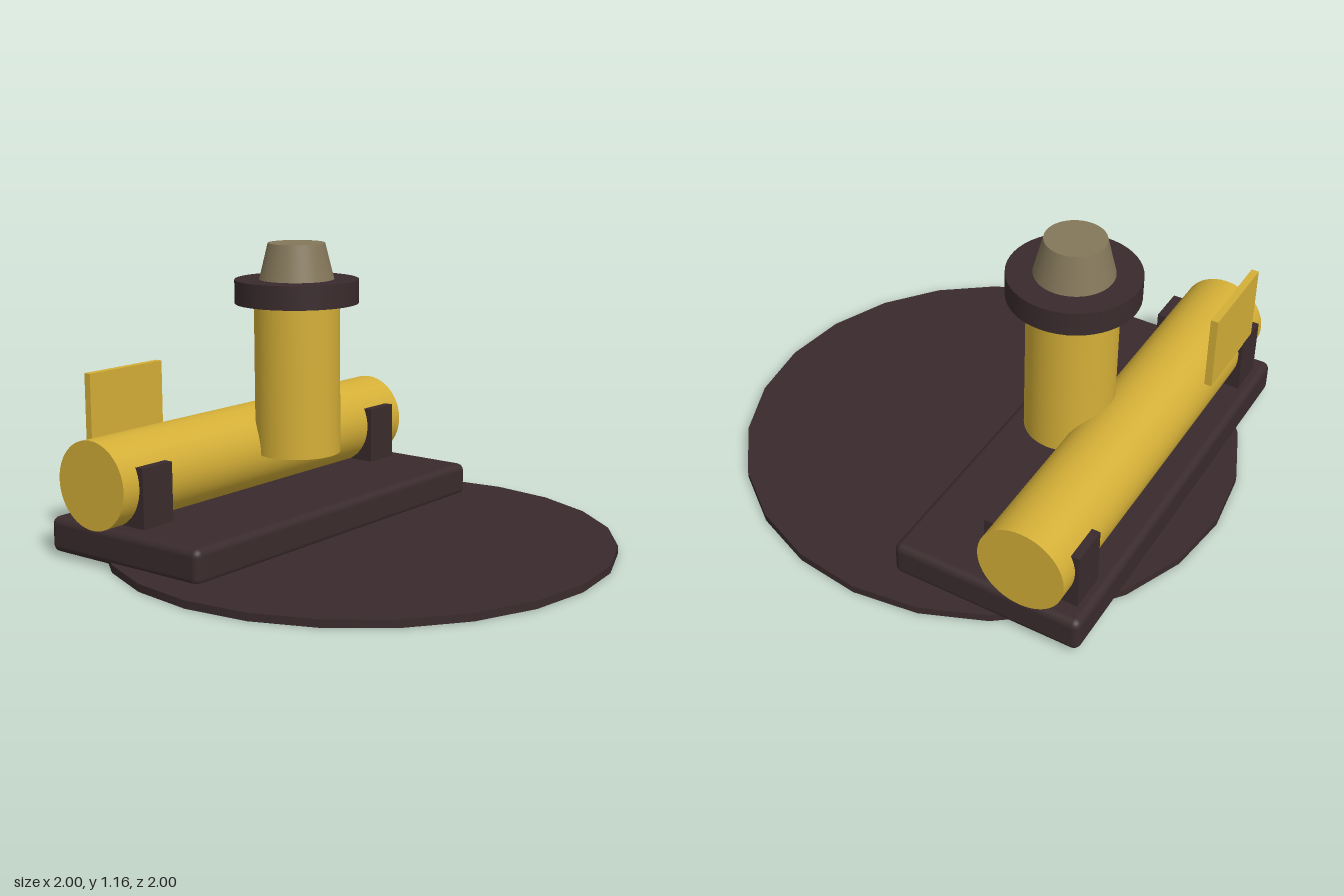
import * as THREE from 'three';
import { RoundedBoxGeometry } from 'three/addons/geometries/RoundedBoxGeometry.js';

const material = (name, color) => {
  const m = new THREE.MeshStandardMaterial({ color });
  m.name = name;
  return m;
};

export function createModel() {
  const gold = material('gold', 0xd4af37);
  const dark = material('dark brown', 0x3a2b2d);
  const tan = material('tan', 0x84775a);
  const model = new THREE.Group();

  const add = (name, geometry, mat, x, y, z) => {
    const mesh = new THREE.Mesh(geometry, mat);
    mesh.name = name;
    mesh.position.set(x, y, z);
    model.add(mesh);
    return mesh;
  };
  // Upright round part standing between two heights
  const round = (name, mat, rTop, rBottom, y0, y1, x, z, sides = 48) =>
    add(name, new THREE.CylinderGeometry(rTop, rBottom, y1 - y0, sides), mat, x, (y0 + y1) / 2, z);

  // Ground disc and mounting base
  const disc = round('groundDisc', dark, 1, 1, 0, 0.03, 0, 0, 24);
  disc.material = dark;
  add('base', new RoundedBoxGeometry(1.7, 0.14, 0.77, 3, 0.03), dark, 0, 0.085, -0.465);

  // Horizontal barrel held by two saddles
  const barrel = add('barrel', new THREE.CylinderGeometry(0.173, 0.173, 1.7, 48), gold, 0, 0.31, -0.615);
  barrel.rotation.z = Math.PI / 2;
  for (const [name, side] of [['leftSaddle', 1], ['rightSaddle', -1]]) {
    add(name, new THREE.BoxGeometry(0.154, 0.25, 0.38), dark, side * 0.693, 0.263, -0.613);
  }

  // Upright column with collar and tapered cap
  const cx = 0.075, cz = -0.385;
  round('column', gold, 0.173, 0.173, 0.31, 0.93, cx, cz);
  round('collar', dark, 0.25, 0.25, 0.92, 1.015, cx, cz);
  round('taperedCap', tan, 0.115, 0.152, 1.01, 1.16, cx, cz);

  // Thin upright plate at the back
  add('backPlate', new THREE.BoxGeometry(0.385, 0.31, 0.03), gold, -0.502, 0.54, -0.787);

  return model;
}
